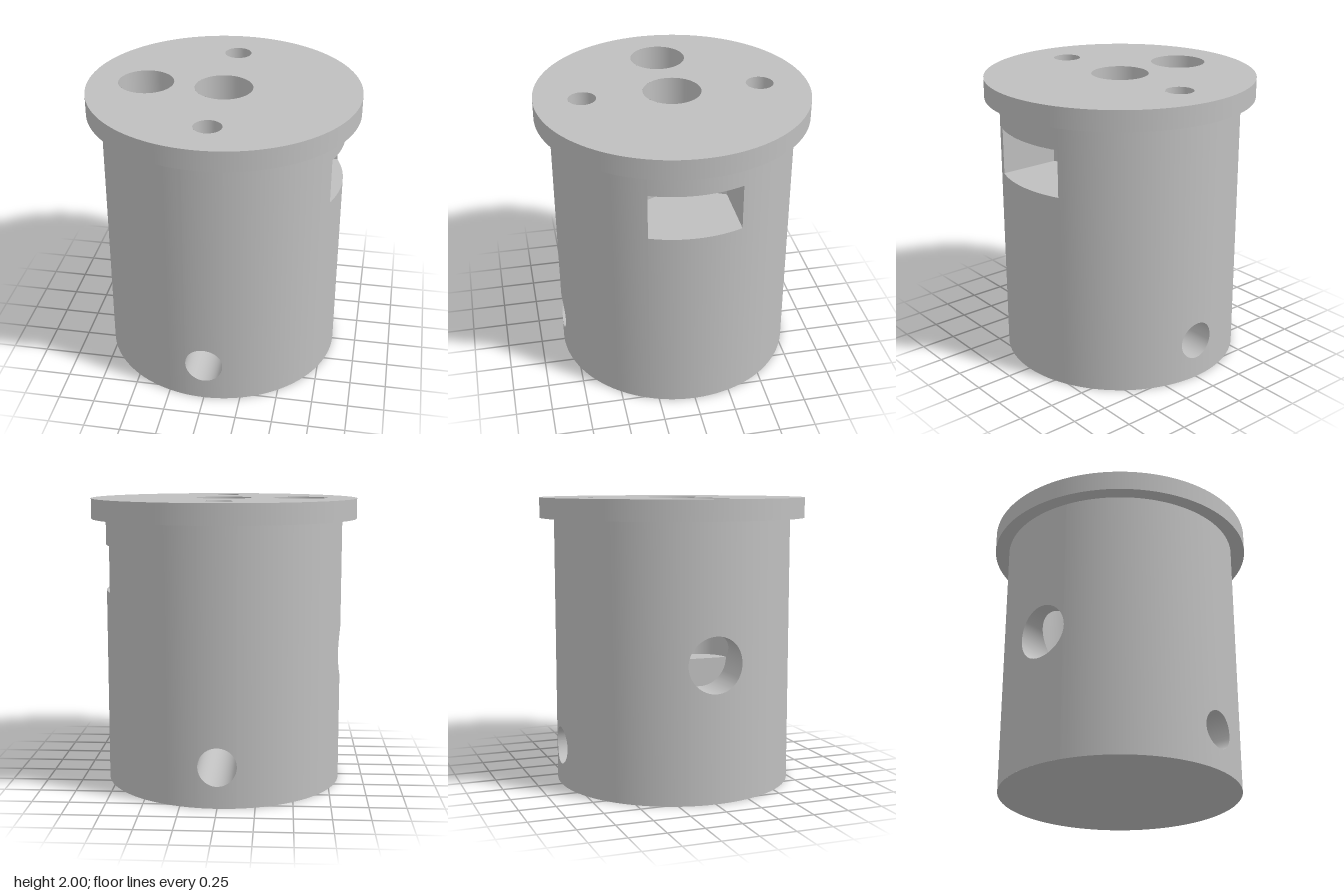
import * as THREE from 'three';

const R = 0.83, FLANGE_R = 0.93, FLANGE_Y = 1.86, TOP = 2;
const CROSS = { r: 0.13, y: 0.28 };               // through hole along z
const SIDE = { r: 0.19, y: 0.93, x: -0.535 };     // elbow port, left-hand side
const SLOT = { z: 0.31, y0: 1.36, y1: 1.68, straight: 0.35, end: 0.21, tip: 0.013 };

export function createModel() {
  const model = new THREE.Group();
  const grey = new THREE.MeshStandardMaterial({ color: 0xbfbfbf, side: THREE.DoubleSide });
  grey.name = 'plain grey';

  const add = (name, geometry, x = 0, y = 0, z = 0) => {
    const mesh = new THREE.Mesh(geometry, grey);
    mesh.name = name;
    mesh.position.set(x, y, z);
    model.add(mesh);
  };

  // Ruled surface between two curves a(t) and b(t), t in 0..1
  const ruled = (a, b, n) => {
    const pos = [], index = [];
    for (let i = 0; i <= n; i++) {
      pos.push(...a(i / n), ...b(i / n));
      const k = 2 * i;
      if (i < n) index.push(k, k + 1, k + 2, k + 1, k + 3, k + 2);
    }
    const g = new THREE.BufferGeometry();
    g.setAttribute('position', new THREE.Float32BufferAttribute(pos, 3));
    g.setIndex(index);
    g.computeVertexNormals();
    return g;
  };
  const flat = (shape) => new THREE.ShapeGeometry(shape, 64).rotateX(-Math.PI / 2);
  const onWall = (a, y) => [R * Math.cos(a), y, R * Math.sin(a)];

  // Body wall, made of sectors with an opening and plain sectors between them
  const round = (mid, { r, y }) => ({
    mid, half: Math.asin(r / R),
    at: (t) => {
      const s = (t - 0.5) * Math.PI;
      return { a: mid + Math.asin(r * Math.sin(s) / R), lo: y - r * Math.cos(s), hi: y + r * Math.cos(s) };
    },
  });
  const slotHalf = Math.asin(SLOT.z / R);
  const openings = [
    { mid: 0, half: slotHalf, at: (t) => ({ a: (2 * t - 1) * slotHalf, lo: SLOT.y0, hi: SLOT.y1 }) },
    round(Math.PI / 2, CROSS),
    round(Math.PI, SIDE),
    round(Math.PI * 1.5, CROSS),
  ];
  openings.forEach((o, i) => {
    const p = (t, key) => onWall(o.at(t).a, o.at(t)[key]);
    add('bodyWallBelowOpening', ruled((t) => p(t, 'lo'), (t) => onWall(o.at(t).a, 0), 32));
    add('bodyWallAboveOpening', ruled((t) => onWall(o.at(t).a, FLANGE_Y), (t) => p(t, 'hi'), 32));
    const next = openings[(i + 1) % 4];
    const a0 = o.mid + o.half;
    const a1 = next.mid - next.half + (i === 3 ? 2 * Math.PI : 0);
    const angle = (t) => a0 + (a1 - a0) * t;
    add('bodyWall', ruled((t) => onWall(angle(t), FLANGE_Y), (t) => onWall(angle(t), 0), 24));
  });
  add('bodyBottom', new THREE.CircleGeometry(R, 128).rotateX(Math.PI / 2));

  // Flange with its drilled top face
  const blindHoles = [
    { name: 'centreHole', x: 0, z: 0, r: 0.197, depth: 0.5 },
    { name: 'frontSmallHole', x: 0, z: 0.605, r: 0.094, depth: 0.4 },
    { name: 'backSmallHole', x: 0, z: -0.605, r: 0.094, depth: 0.4 },
  ];
  const disc = new THREE.Shape().absarc(0, 0, FLANGE_R, 0, 2 * Math.PI);
  for (const h of [...blindHoles, { x: SIDE.x, z: 0, r: SIDE.r }]) {
    disc.holes.push(new THREE.Path().absarc(h.x, -h.z, h.r, 0, 2 * Math.PI, true));
  }
  add('flangeTop', flat(disc), 0, TOP);
  add('flangeRim', new THREE.CylinderGeometry(FLANGE_R, FLANGE_R, TOP - FLANGE_Y, 128, 1, true), 0, (TOP + FLANGE_Y) / 2);
  add('flangeUnderside', new THREE.RingGeometry(R, FLANGE_R, 128).rotateX(Math.PI / 2), 0, FLANGE_Y);

  // Blind holes in the top
  for (const h of blindHoles) {
    add(h.name + 'Wall', new THREE.CylinderGeometry(h.r, h.r, h.depth, 48, 1, true), h.x, TOP - h.depth / 2, h.z);
    add(h.name + 'Floor', new THREE.CircleGeometry(h.r, 48).rotateX(-Math.PI / 2), h.x, TOP - h.depth, h.z);
  }

  // Cross hole running from front to back
  const crossEdge = (sign) => (t) => {
    const a = t * 2 * Math.PI, x = CROSS.r * Math.cos(a);
    return [x, CROSS.y + CROSS.r * Math.sin(a), sign * Math.sqrt(R * R - x * x)];
  };
  add('crossHoleWall', ruled(crossEdge(1), crossEdge(-1), 64));

  // Elbow port: a vertical bore meeting a horizontal bore of equal radius
  const { r, x: px, y: py } = SIDE;
  add('portVerticalBore', ruled(
    (t) => [px + r * Math.cos(t * 2 * Math.PI), TOP, r * Math.sin(t * 2 * Math.PI)],
    (t) => {
      const c = r * Math.cos(t * 2 * Math.PI);
      return [px + c, py + Math.max(0, -c), r * Math.sin(t * 2 * Math.PI)];
    }, 64));
  add('portHorizontalBore', ruled(
    (t) => {
      const a = t * 2 * Math.PI, z = r * Math.sin(a);
      return [-Math.sqrt(R * R - z * z), py + r * Math.cos(a), z];
    },
    (t) => {
      const a = t * 2 * Math.PI, c = r * Math.cos(a);
      return [px - Math.max(0, c), py + c, r * Math.sin(a)];
    }, 64));
  add('portFloor', new THREE.CircleGeometry(r, 32, -Math.PI / 2, Math.PI).rotateX(-Math.PI / 2), px, py);
  add('portEndWall', new THREE.CircleGeometry(r, 32, Math.PI, Math.PI).rotateY(-Math.PI / 2), px, py);

  // Rectangular slot with straight sides and a shallow V at its back
  const outline = [
    [Math.sqrt(R * R - SLOT.z * SLOT.z), SLOT.z], [SLOT.straight, SLOT.z], [SLOT.end, SLOT.tip],
    [SLOT.end, -SLOT.tip], [SLOT.straight, -SLOT.z], [Math.sqrt(R * R - SLOT.z * SLOT.z), -SLOT.z],
  ];
  const slotShape = new THREE.Shape(outline.map(([x, z]) => new THREE.Vector2(x, z)));
  slotShape.absarc(0, 0, R, -slotHalf, slotHalf);
  add('slotFloor', flat(slotShape), 0, SLOT.y0);
  add('slotCeiling', flat(slotShape).rotateX(Math.PI), 0, SLOT.y1);
  for (let i = 0; i < outline.length - 1; i++) {
    const [p, q] = [outline[i], outline[i + 1]];
    const edge = (y) => (t) => [p[0] + (q[0] - p[0]) * t, y, p[1] + (q[1] - p[1]) * t];
    add('slotWall', ruled(edge(SLOT.y1), edge(SLOT.y0), 1));
  }
  return model;
}
